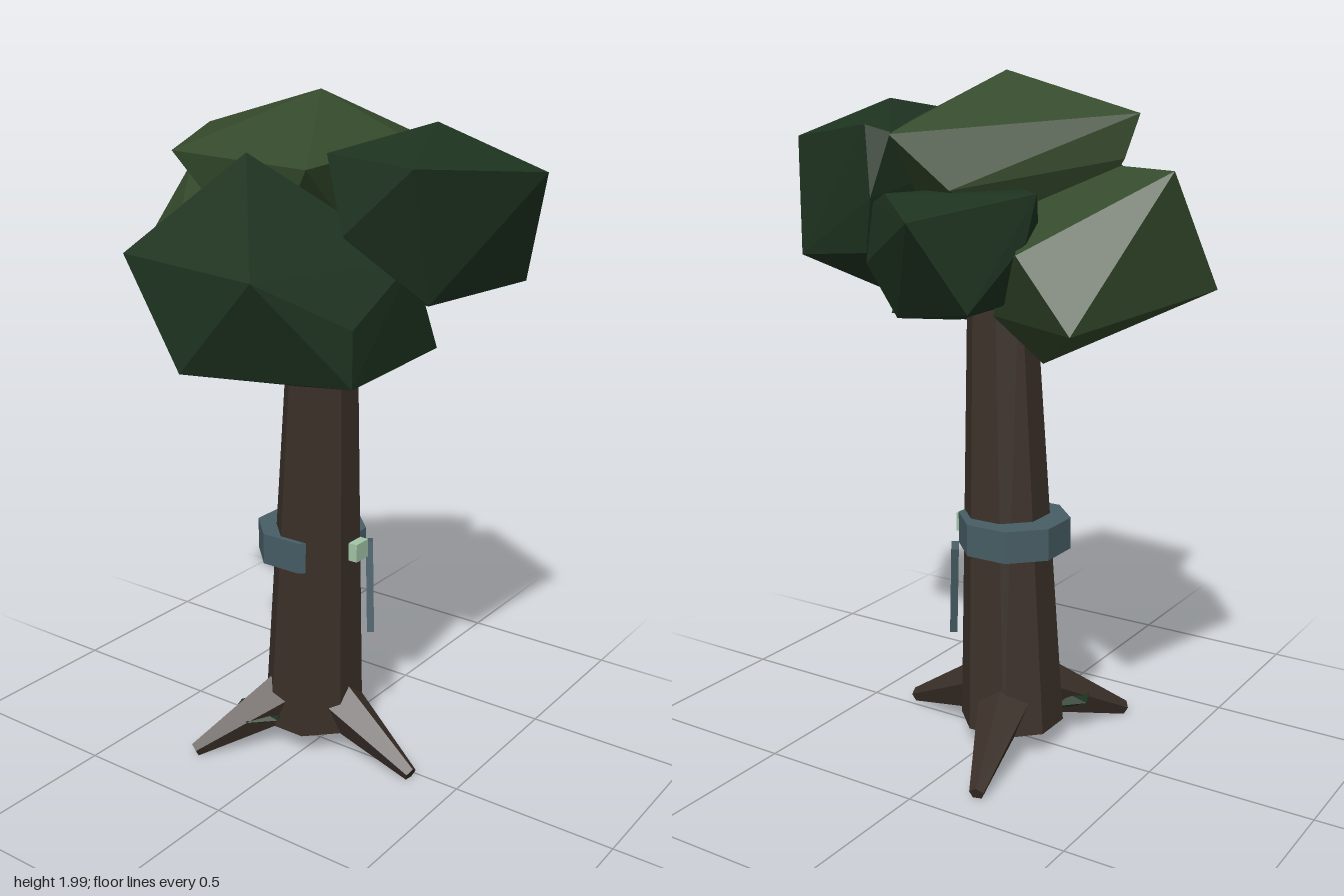
import * as THREE from 'three';
import { ConvexGeometry } from 'three/addons/geometries/ConvexGeometry.js';

const flat = (name, color) => new THREE.MeshStandardMaterial({ name, color, flatShading: true });

export function createModel() {
  const tree = new THREE.Group();
  tree.name = 'tree';

  const bark = flat('bark brown', 0x3b3029);
  const lightLeaf = flat('light leaf green', 0x34492b);
  const darkLeaf = flat('dark leaf green', 0x1e3320);
  const leather = flat('slate strap', 0x475d65);
  const metal = flat('pale buckle', 0xa2c4a6);

  const add = (name, geometry, material) => {
    const mesh = new THREE.Mesh(geometry, material);
    mesh.name = name;
    tree.add(mesh);
    return mesh;
  };

  // Leaning, tapering eight-sided trunk with flats to the front
  const y0 = 0.08, y1 = 1.5;
  const trunk = new THREE.CylinderGeometry(0.096, 0.157, y1 - y0, 8);
  trunk.rotateY(Math.PI / 8).translate(0, (y0 + y1) / 2, 0);
  const pos = trunk.attributes.position;
  for (let i = 0; i < pos.count; i++) {
    const t = (pos.getY(i) - y0) / (y1 - y0);
    pos.setX(i, pos.getX(i) + 0.02 - 0.045 * t);
    pos.setZ(i, pos.getZ(i) - 0.04 + 0.07 * t);
  }
  add('trunk', trunk, bark);

  // Three roots, each a tapering five-sided spike with a ridge on top
  const root = (name, from, to) => {
    const a = new THREE.Vector3(...from), b = new THREE.Vector3(...to);
    const length = a.distanceTo(b);
    const g = new THREE.CylinderGeometry(0.022, 0.082, length, 5, 1, false, Math.PI);
    g.rotateX(Math.PI / 2).translate(0, 0, length / 2);
    const mesh = add(name, g, bark);
    mesh.position.copy(a);
    mesh.lookAt(b);
  };
  root('frontRoot', [0.01, 0.158, 0.06], [-0.035, 0.027, 0.36]);
  root('leftRoot', [0.11, 0.158, -0.07], [0.4, 0.027, -0.16]);
  root('backRoot', [-0.07, 0.158, -0.1], [-0.31, 0.027, -0.255]);

  // Moss patch by the back root
  const moss = add('moss', new THREE.IcosahedronGeometry(1, 0), darkLeaf);
  moss.scale.set(0.09, 0.024, 0.09);
  moss.position.set(-0.125, 0.118, -0.145);
  moss.rotation.y = Math.PI / 4;

  // Octagonal belt around the trunk
  const belt = new THREE.CylinderGeometry(0.168, 0.168, 0.095, 8);
  belt.rotateY(Math.PI / 8).translate(0.019, 0.678, -0.046);
  add('belt', belt, leather);

  // Buckle and hanging strap end
  const buckle = add('buckle', new THREE.BoxGeometry(0.06, 0.056, 0.05), metal);
  buckle.position.set(0.02, 0.68, 0.115);
  const strap = add('strapEnd', new THREE.BoxGeometry(0.05, 0.285, 0.022), leather);
  strap.position.set(0.14, 0.51, 0.088);
  const along = new THREE.Vector3(0.04, 0.28, -0.035).normalize();
  strap.quaternion.setFromUnitVectors(new THREE.Vector3(0, 1, 0), along);
  strap.rotateY(0.6);

  // Faceted leaf clumps, each the hull of a few corner points
  const clump = (name, material, corners) =>
    add(name, new ConvexGeometry(corners.map(c => new THREE.Vector3(...c))), material);

  clump('topLeaves', lightLeaf, [
    [0.1, 2, -0.07], [0.075, 1.89, -0.46], [-0.34, 1.86, -0.24], [-0.27, 1.83, 0.15],
    [0.49, 1.84, 0.035], [0.15, 1.87, 0.2], [0.1, 1.775, -0.43], [0.42, 1.7, -0.1],
    [-0.25, 1.55, 0], [0.15, 1.5, 0.1], [0.1, 1.5, -0.25],
  ]);
  clump('backLeaves', lightLeaf, [
    [-0.1, 1.425, -0.615], [0.125, 1.75, -0.585], [0.43, 1.36, -0.46], [0.425, 1.55, -0.3],
    [-0.24, 1.55, -0.46], [-0.26, 1.7, -0.28], [0.1, 1.21, -0.19], [0.05, 1.77, -0.1],
    [-0.2, 1.36, -0.15], [0.25, 1.36, -0.12],
  ]);
  clump('rightLeaves', darkLeaf, [
    [-0.36, 1.875, 0.03], [-0.62, 1.61, 0.245], [-0.605, 1.345, 0], [-0.41, 1.475, 0.395],
    [-0.41, 1.325, 0.395], [-0.1, 1.6, 0.37], [0.115, 1.31, 0.32], [-0.235, 1.245, 0.12],
    [-0.555, 1.62, -0.225], [-0.33, 1.38, -0.225], [0.1, 1.36, -0.1], [-0.2, 1.7, -0.2],
  ]);
  clump('frontLeaves', darkLeaf, [
    [0.16, 1.815, 0.615], [-0.29, 1.86, 0.485], [0.155, 1.925, 0.28], [0.4, 1.86, 0.18],
    [-0.22, 1.87, 0.18], [-0.305, 1.68, 0.29], [-0.165, 1.5, 0.46], [0.305, 1.49, 0.49],
    [0.41, 1.67, 0.16], [0.38, 1.52, 0.2], [0.25, 1.39, 0.19], [0.1, 1.75, 0.05],
    [0.37, 1.84, 0.12],
  ]);
  clump('leftLeaves', darkLeaf, [
    [0.615, 1.635, -0.105], [0.38, 1.7, -0.335], [0.39, 1.58, -0.31], [0.49, 1.4, -0.2],
    [0.465, 1.69, 0.07], [0.41, 1.66, 0.15], [0.42, 1.5, 0.17], [0.42, 1.36, 0.07],
    [0.25, 1.36, 0.15], [0.23, 1.335, 0], [0.1, 1.4, -0.18], [0.15, 1.7, -0.1],
    [0.1, 1.38, 0.12], [0.12, 1.66, 0.15],
  ]);

  return tree;
}
